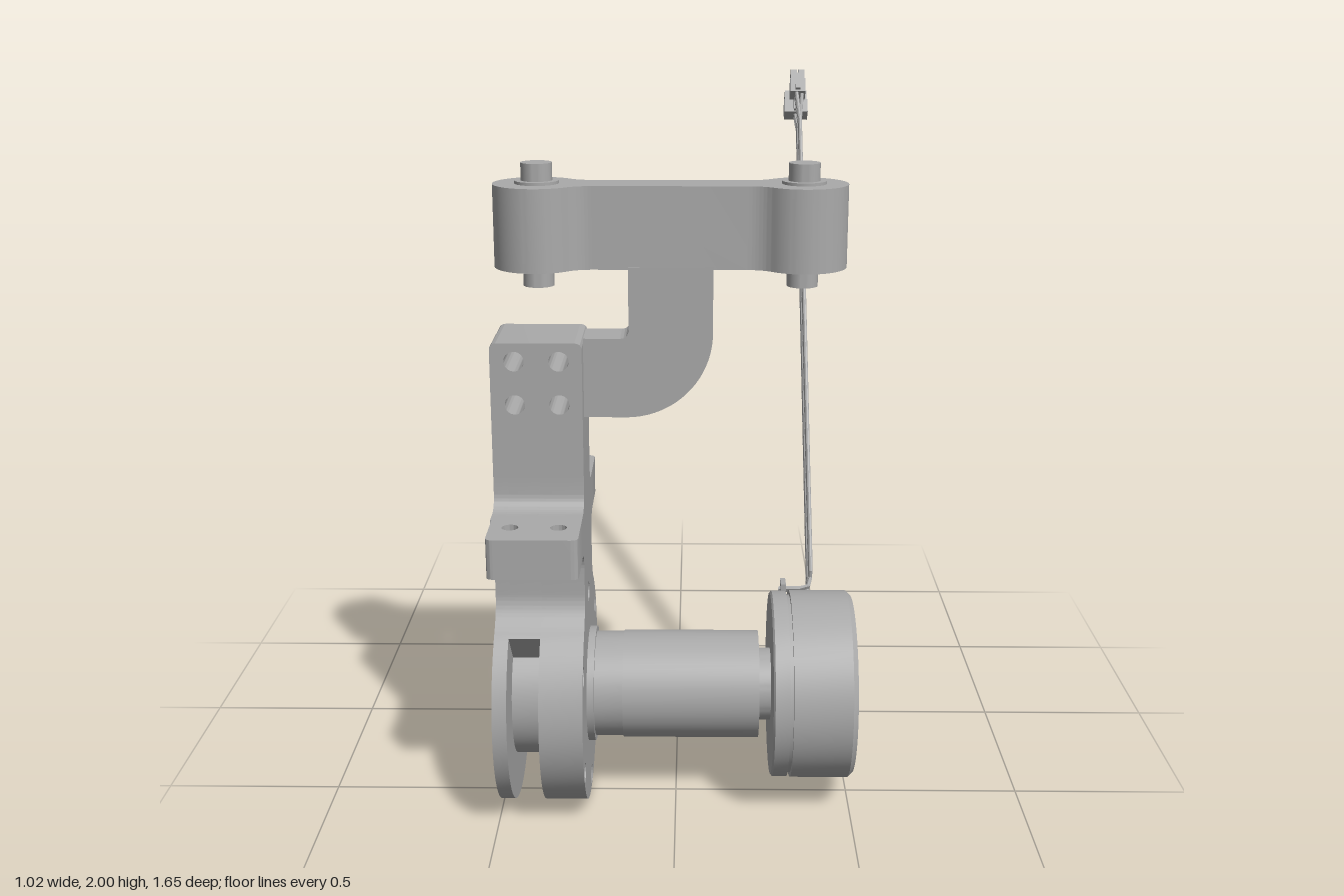
import * as THREE from 'three';
import { toCreasedNormals } from 'three/addons/utils/BufferGeometryUtils.js';

const CZ = 0.47; // z of the main assembly plane
const CY = 0.33; // height of the drive axis
const RAD = Math.PI / 180;

export function createModel() {
  const model = new THREE.Group();
  const grey = new THREE.MeshStandardMaterial({ color: 0xaaaaaa });
  grey.name = 'machined grey';

  const add = (name, geo, x = 0, y = 0, z = 0, parent = model) => {
    const mesh = new THREE.Mesh(toCreasedNormals(geo, 0.5), grey);
    mesh.name = name;
    mesh.position.set(x, y, z);
    parent.add(mesh);
    return mesh;
  };
  const extrude = (shape, depth) =>
    new THREE.ExtrudeGeometry(shape, { depth, bevelEnabled: false, curveSegments: 32 });
  const alongX = (shape, depth) => extrude(shape, depth).rotateY(Math.PI / 2); // shape x = -z
  const alongY = (shape, depth) => extrude(shape, depth).rotateX(-Math.PI / 2); // shape y = -z
  const latheX = (pts) =>
    new THREE.LatheGeometry(pts.map(([x, r]) => new THREE.Vector2(r, x)), 64).rotateZ(-Math.PI / 2);
  const hole = (shape, x, y, r) => shape.holes.push(new THREE.Path().absarc(x, y, r, 0, Math.PI * 2, true));

  // Side outline of the bracket: disc, neck, wing roots and column root
  const bracketOutline = (slotted) => {
    const s = new THREE.Shape();
    const arc = (r, a, b) => s.absarc(0, 0.325, r, a * RAD, b * RAD, false);
    if (slotted) {
      arc(0.325, 130.3, 132);
      arc(0.195, 132, 340);
      arc(0.325, 340, 409.7);
    } else arc(0.325, 130.3, 409.7);
    s.quadraticCurveTo(0.15, 0.615, 0.15, 0.67);
    s.lineTo(0.15, 0.74);
    s.quadraticCurveTo(0.15, 0.8, 0.21, 0.8);
    s.lineTo(0.21, 0.91);
    s.lineTo(0.165, 0.91);
    s.quadraticCurveTo(0.115, 0.91, 0.115, 0.96);
    s.lineTo(0.115, 1.0);
    s.lineTo(-0.115, 1.0);
    s.lineTo(-0.115, 0.96);
    s.quadraticCurveTo(-0.115, 0.91, -0.165, 0.91);
    s.lineTo(-0.21, 0.91);
    s.lineTo(-0.21, 0.8);
    s.quadraticCurveTo(-0.15, 0.8, -0.15, 0.74);
    s.lineTo(-0.15, 0.67);
    s.quadraticCurveTo(-0.15, 0.615, -0.21, 0.573);
    return s;
  };

  // Bracket in three slabs, the middle one cut back to form the rim slot
  const outer = bracketOutline(false);
  hole(outer, 0, CY, 0.11);
  for (const a of [85, 110, 140, 165, 195, 220])
    hole(outer, -0.25 * Math.cos(a * RAD), CY + 0.25 * Math.sin(a * RAD), 0.024);
  add('bracketOuterPlate', alongX(outer, 0.04), -0.497, 0, CZ);
  const middle = bracketOutline(true);
  hole(middle, 0, CY, 0.11);
  add('bracketSlottedCore', alongX(middle, 0.087), -0.457, 0, CZ);
  const inner = bracketOutline(false);
  const boltSpots = [];
  for (let i = 0; i < 6; i++) {
    const a = (90 + i * 60) * RAD;
    boltSpots.push([0.295 * Math.cos(a), 0.325 + 0.292 * Math.sin(a)]);
  }
  for (const [u, v] of boltSpots) hole(inner, u, v, 0.028);
  add('bracketInnerPlate', alongX(inner, 0.12), -0.37, 0, CZ);
  for (const [u, v] of boltSpots) {
    add('discBolt', new THREE.CylinderGeometry(0.016, 0.016, 0.1, 16).rotateZ(Math.PI / 2), -0.315, v, CZ - u);
  }

  // Bearing ring on the outer face
  const ring = new THREE.Shape().absarc(0, 0, 0.18, 0, Math.PI * 2, false);
  hole(ring, 0, 0, 0.11);
  add('bearingRing', alongX(ring, 0.03), -0.515, CY, CZ);
  const race = new THREE.Shape().absarc(0, 0, 0.11, 0, Math.PI * 2, false);
  hole(race, 0, 0, 0.085);
  add('bearingRace', alongX(race, 0.06), -0.475, CY, CZ);

  // Wings with vertical mounting holes
  for (const side of [-1, 1]) {
    const w = new THREE.Shape();
    w.moveTo(-0.493, side * 0.21);
    w.lineTo(-0.493, side * 0.34);
    w.quadraticCurveTo(-0.493, side * 0.36, -0.473, side * 0.36);
    w.lineTo(-0.27, side * 0.36);
    w.quadraticCurveTo(-0.25, side * 0.36, -0.25, side * 0.34);
    w.lineTo(-0.25, side * 0.21);
    for (const x of [-0.437, -0.308]) hole(w, x, side * 0.265, 0.022);
    add('bracketWing', alongY(w, 0.11), 0, 0.8, CZ);
  }

  // Column with four cross holes
  const col = new THREE.Shape();
  col.moveTo(-0.497, 1.0);
  col.lineTo(-0.25, 1.0);
  col.lineTo(-0.25, 1.355);
  col.quadraticCurveTo(-0.25, 1.375, -0.27, 1.375);
  col.lineTo(-0.477, 1.375);
  col.quadraticCurveTo(-0.497, 1.375, -0.497, 1.355);
  for (const x of [-0.432, -0.312]) for (const y of [1.205, 1.325]) hole(col, x, y, 0.027);
  add('bracketColumn', extrude(col, 0.23), 0, 0, CZ - 0.115);

  // Curved arm between column and crossbar
  const arm = new THREE.Shape();
  arm.moveTo(-0.25, 1.155);
  arm.lineTo(-0.135, 1.155);
  arm.absarc(-0.135, 1.39, 0.235, -Math.PI / 2, 0, false);
  arm.lineTo(0.1, 1.57);
  arm.lineTo(-0.127, 1.57);
  arm.lineTo(-0.127, 1.4);
  arm.quadraticCurveTo(-0.127, 1.375, -0.152, 1.375);
  arm.lineTo(-0.25, 1.375);
  add('curvedArm', extrude(arm, 0.12), 0, 0, CZ - 0.06);

  // Crossbar: two round ends joined by a filleted web
  const L = -0.37, R = 0.34, r = 0.118;
  const bar = new THREE.Shape();
  bar.absarc(L, 0, r, 45 * RAD, 315 * RAD, false);
  bar.quadraticCurveTo(L + 0.11, -0.058, L + 0.15, -0.058);
  bar.lineTo(R - 0.15, -0.058);
  bar.quadraticCurveTo(R - 0.11, -0.058, R - r * Math.SQRT1_2, -r * Math.SQRT1_2);
  bar.absarc(R, 0, r, -135 * RAD, 135 * RAD, false);
  bar.quadraticCurveTo(R - 0.11, 0.058, R - 0.15, 0.058);
  bar.lineTo(L + 0.15, 0.058);
  bar.quadraticCurveTo(L + 0.11, 0.058, L + r * Math.SQRT1_2, r * Math.SQRT1_2);
  add('crossbar', alongY(bar, 0.222), 0, 1.563, CZ);
  for (const x of [L, R]) {
    add('pivotPin', new THREE.CylinderGeometry(0.042, 0.042, 0.33, 32), x, 1.675, CZ);
    add('pivotWasher', new THREE.CylinderGeometry(0.06, 0.06, 0.238, 32), x, 1.674, CZ);
  }

  // Gearbox tube and motor can
  add('gearboxTube', latheX([[-0.26, 0], [-0.26, 0.165], [-0.23, 0.165], [-0.23, 0.15], [-0.15, 0.15],
    [-0.15, 0.154], [0.237, 0.154], [0.237, 0.104], [0.29, 0.104], [0.29, 0]]), 0, CY, CZ);
  add('motorCan', latheX([[0.272, 0], [0.272, 0.26], [0.277, 0.266], [0.318, 0.266], [0.318, 0.255],
    [0.328, 0.255], [0.328, 0.268], [0.492, 0.268], [0.506, 0.255], [0.506, 0.03], [0.48, 0.03],
    [0.48, 0]]), 0, CY + 0.002, CZ - 0.003);

  // Cable bundles: flat rows of wires leaving the can, each ending in a plug
  const bundle = (name, count, pitch, radius, start, end, plug, plugWidth) => {
    const g = new THREE.Group();
    g.name = name;
    const [sz, sy] = start, [ez, ey] = end, [pz, py] = plug;
    for (let i = 0; i < count; i++) {
      const k = (i - (count - 1) / 2) * pitch;
      const dz = k * 0.785, dy = k * 0.62;
      const z0 = sz - k * 1.3;
      const y0 = CY + Math.sqrt(0.271 ** 2 - (z0 - CZ) ** 2) + 0.006;
      const fan = (i % 2 ? 1 : -1) * 0.012;
      const path = new THREE.CurvePath();
      const v = (x, y, z) => new THREE.Vector3(x, y, z);
      const a = v(0.3, y0, z0), b = v(0.375, y0, z0), c = v(0.395, sy + dy + 0.035, sz + dz - 0.027);
      const d = v(0.395, ey + dy, ez + dz), e = v(0.395 + fan, py + dy * 0.8, pz + dz * 0.8);
      path.add(new THREE.LineCurve3(a, b));
      path.add(new THREE.QuadraticBezierCurve3(b, v(0.395, y0, z0), c));
      path.add(new THREE.LineCurve3(c, d));
      path.add(new THREE.LineCurve3(d, e));
      add('wire', new THREE.TubeGeometry(path, 60, radius, 8), 0, 0, 0, g);
    }
    // Plug housing with two rows of sockets and a latch
    const p = new THREE.Group();
    p.name = 'plug';
    p.position.set(0.39, py, pz);
    p.rotation.x = -0.668;
    add('plugBody', new THREE.BoxGeometry(plugWidth, 0.05, 0.05), 0, -0.01, 0, p);
    const cols = Math.round(plugWidth / 0.025);
    for (let i = 0; i < cols; i++) for (const z of [-0.013, 0.013]) {
      const x = (i - (cols - 1) / 2) * (plugWidth / cols);
      add('plugSocket', new THREE.BoxGeometry(plugWidth / cols - 0.005, 0.04, 0.02), x, 0.03, z, p);
    }
    add('plugLatch', new THREE.BoxGeometry(0.016, 0.06, 0.012), 0, 0.0, 0.03, p);
    g.add(p);
    model.add(g);
  };
  bundle('powerCable', 5, 0.009, 0.006, [0.335, 0.585], [-0.605, 1.83], [-0.695, 1.945], 0.05);
  bundle('sensorCable', 4, 0.011, 0.0055, [0.25, 0.525], [-0.71, 1.805], [-0.77, 1.87], 0.078);

  // Cable exit on the can
  add('cableExit', new THREE.BoxGeometry(0.015, 0.02, 0.05), 0.312, 0.595, 0.36);
  return model;
}
